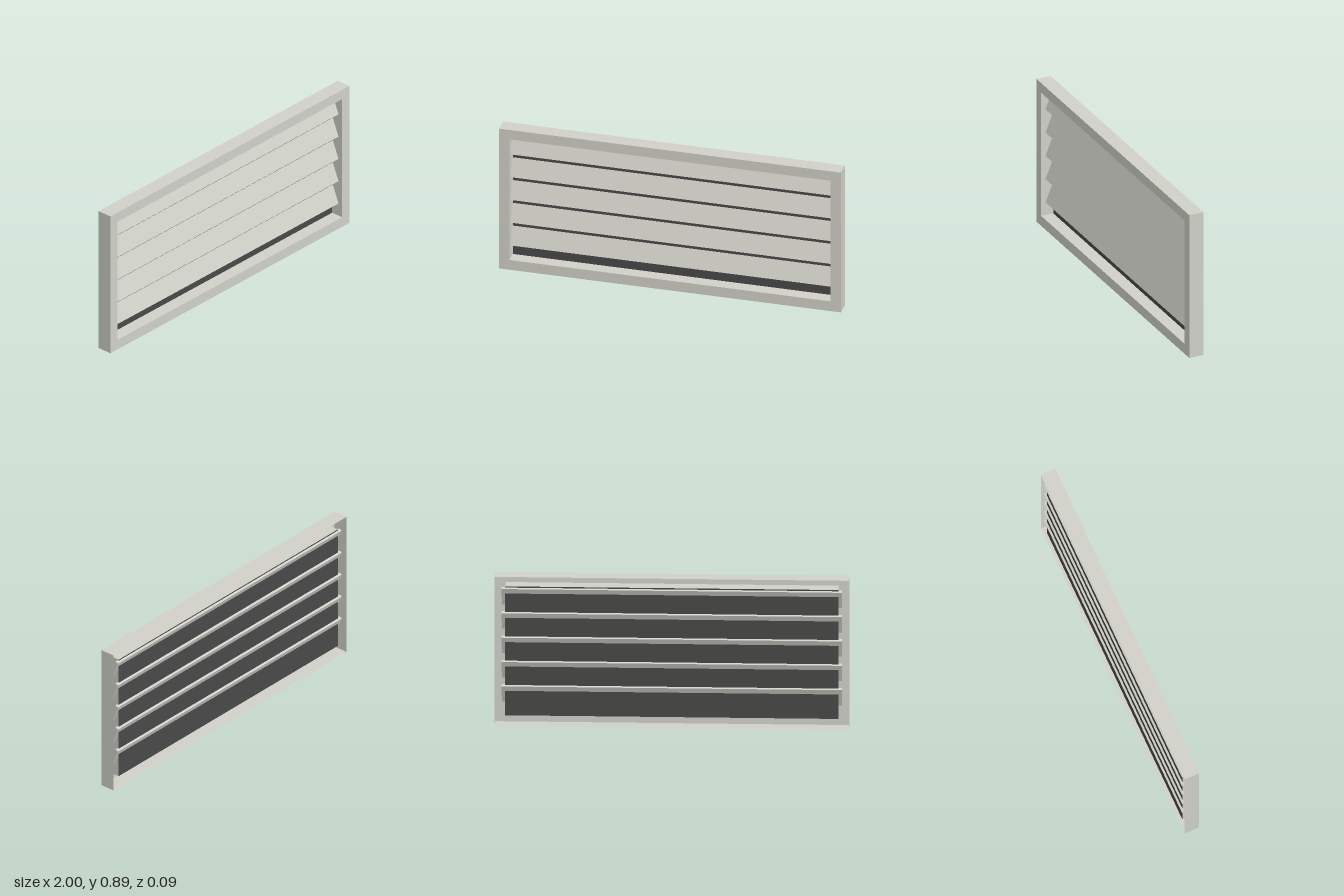
import * as THREE from 'three';

export function createModel() {
  const model = new THREE.Group();
  const paint = new THREE.MeshStandardMaterial({ color: 0xd0d1c8, side: THREE.DoubleSide });
  paint.name = 'pale grey paint';
  const dark = new THREE.MeshStandardMaterial({ color: 0x484947, side: THREE.DoubleSide });
  dark.name = 'dark backing';

  const add = (name, geometry, material) => {
    const mesh = new THREE.Mesh(geometry, material);
    mesh.name = name;
    model.add(mesh);
    return mesh;
  };

  // Sheet skin joining successive rectangular loops
  const rectLoop = ([hx, y0, y1, z]) => [[hx, y0, z], [hx, y1, z], [-hx, y1, z], [-hx, y0, z]];
  const skin = (rects) => {
    const loops = rects.map(rectLoop);
    const points = [];
    for (let k = 0; k < loops.length - 1; k++) {
      const a = loops[k], b = loops[k + 1];
      for (let i = 0; i < 4; i++) {
        const j = (i + 1) % 4;
        points.push(...a[i], ...a[j], ...b[j], ...a[i], ...b[j], ...b[i]);
      }
    }
    const geometry = new THREE.BufferGeometry();
    geometry.setAttribute('position', new THREE.Float32BufferAttribute(points, 3));
    geometry.computeVertexNormals();
    return geometry;
  };

  const depth = 0.0445, panelZ = -0.032;
  const x = 0.94, bottom = 0.062, top = 0.83;

  // Frame: outer wall, front face and inner lip, open at the back
  add('frame', skin([
    [1, 0, 0.89, -depth],
    [1, 0, 0.89, depth],
    [x, bottom, top, depth],
    [x, bottom, top, panelZ],
  ]), paint);

  // Backing panel across the rear of the lip
  const panel = add('backingPanel', new THREE.PlaneGeometry(2 * x, top - bottom), dark);
  panel.position.set(0, (top + bottom) / 2, panelZ);

  // Tilted slats, running through the lip and the backing panel
  const slatGeometry = new THREE.BoxGeometry(1.92, 0.113, 0.02);
  for (let i = 0; i < 5; i++) {
    const slat = add(`slat${i + 1}`, slatGeometry, paint);
    slat.position.set(0, 0.189 + i * 0.145, -0.0138);
    slat.rotation.x = -0.38;
  }

  return model;
}
